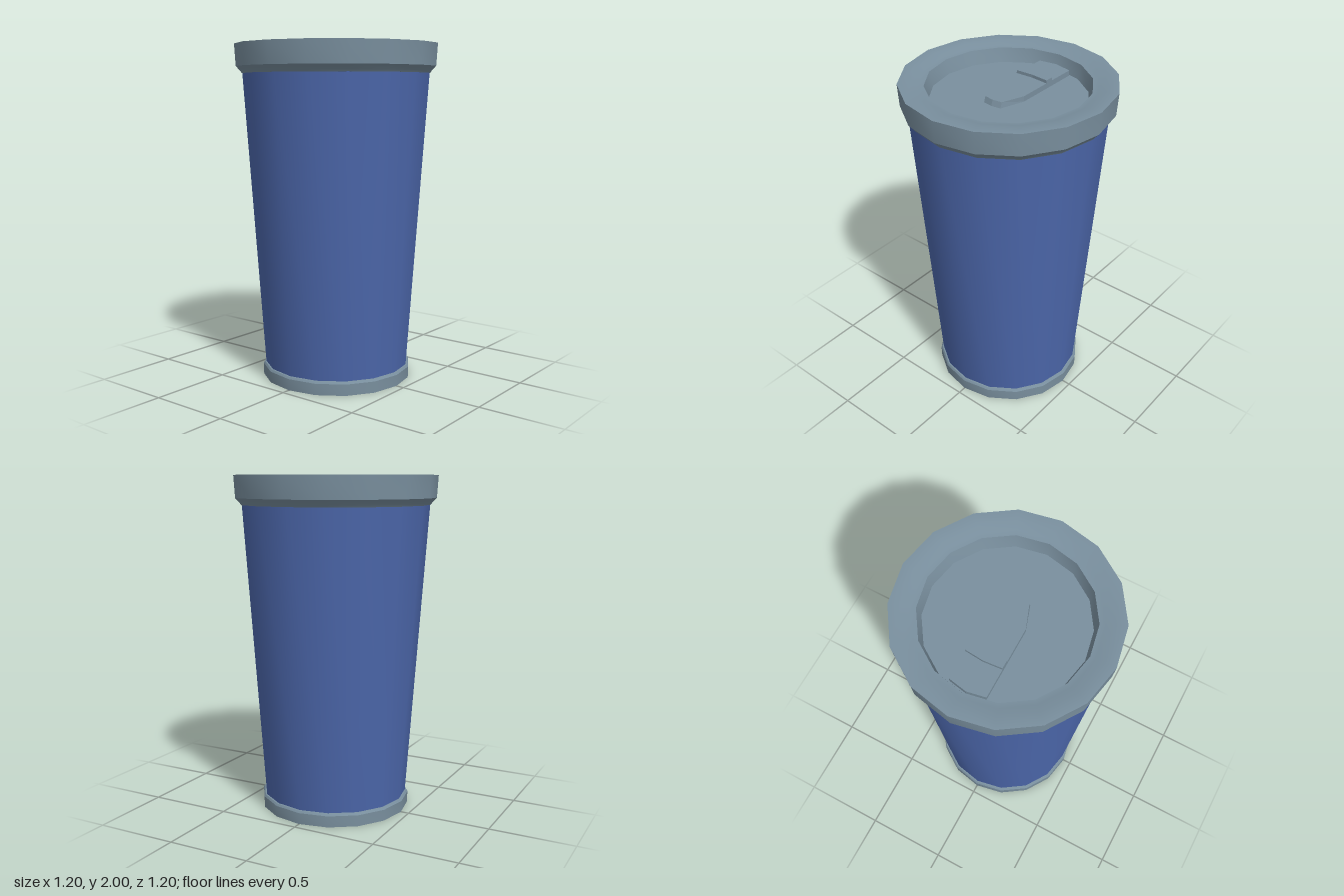
import * as THREE from 'three';
import { toCreasedNormals } from 'three/addons/utils/BufferGeometryUtils.js';

const SIDES = 16;

// Revolve a [radius, height] profile; round around the axis, sharp at profile corners.
function turned(name, profile, material) {
  const points = profile.map(([r, y]) => new THREE.Vector2(r, y));
  const geometry = toCreasedNormals(new THREE.LatheGeometry(points, SIDES), 0.45);
  const mesh = new THREE.Mesh(geometry, material);
  mesh.name = name;
  return mesh;
}

// Flat plate from an outline of [x, z] points, rising from y by height.
// The tip of the plate flares out slightly at its foot.
function plate(name, outline, y, height, material) {
  const shape = new THREE.Shape(outline.map(([x, z]) => new THREE.Vector2(x, -z)));
  const geometry = new THREE.ExtrudeGeometry(shape, { depth: height, bevelEnabled: false });
  geometry.rotateX(-Math.PI / 2);
  const p = geometry.attributes.position;
  for (let i = 0; i < p.count; i++) {
    if (p.getY(i) < 0.001 && p.getZ(i) > 0.1) p.setZ(i, p.getZ(i) + 0.012);
  }
  geometry.computeVertexNormals();
  const mesh = new THREE.Mesh(geometry, material);
  mesh.name = name;
  mesh.position.y = y;
  return mesh;
}

export function createModel() {
  const grey = new THREE.MeshStandardMaterial({ color: 0x7a909f });
  grey.name = 'blue grey plastic';
  const blue = new THREE.MeshStandardMaterial({ color: 0x4c67ab });
  blue.name = 'blue shell';

  const tumbler = new THREE.Group();
  tumbler.name = 'tumbler';

  // Tapered cup wall
  tumbler.add(turned('body', [[0.434, 0.06], [0.557, 1.84]], blue));

  // Foot ring with closed underside
  tumbler.add(turned('base', [
    [0, 0], [0.45, 0], [0.452, 0.068], [0.444, 0.08], [0.43, 0.082],
  ], grey));

  // Lid: flared skirt, rim, sloped lip and sunken floor
  tumbler.add(turned('lid', [
    [0.55, 1.83], [0.56, 1.83], [0.568, 1.842], [0.594, 1.87], [0.602, 2],
    [0.535, 2], [0.49, 1.985], [0.46, 1.982], [0.44, 1.9], [0, 1.9],
  ], grey));

  // Sliding drink tab on the lid floor
  const tab = new THREE.Group();
  tab.name = 'slider';
  const w = 0.105;
  tab.add(plate('sliderPlate', [
    [-w, -0.412], [-w, 0], [-0.057, 0.13], [0, 0.138], [0.057, 0.13],
    [w, 0], [w, -0.412], [0, -0.432],
  ], 1.9, 0.032, grey));
  tab.add(plate('sliderRidge', [
    [-w, -0.247], [-w, -0.198], [0, -0.206], [w, -0.198], [w, -0.247], [0, -0.256],
  ], 1.93, 0.02, grey));
  tumbler.add(tab);

  return tumbler;
}
